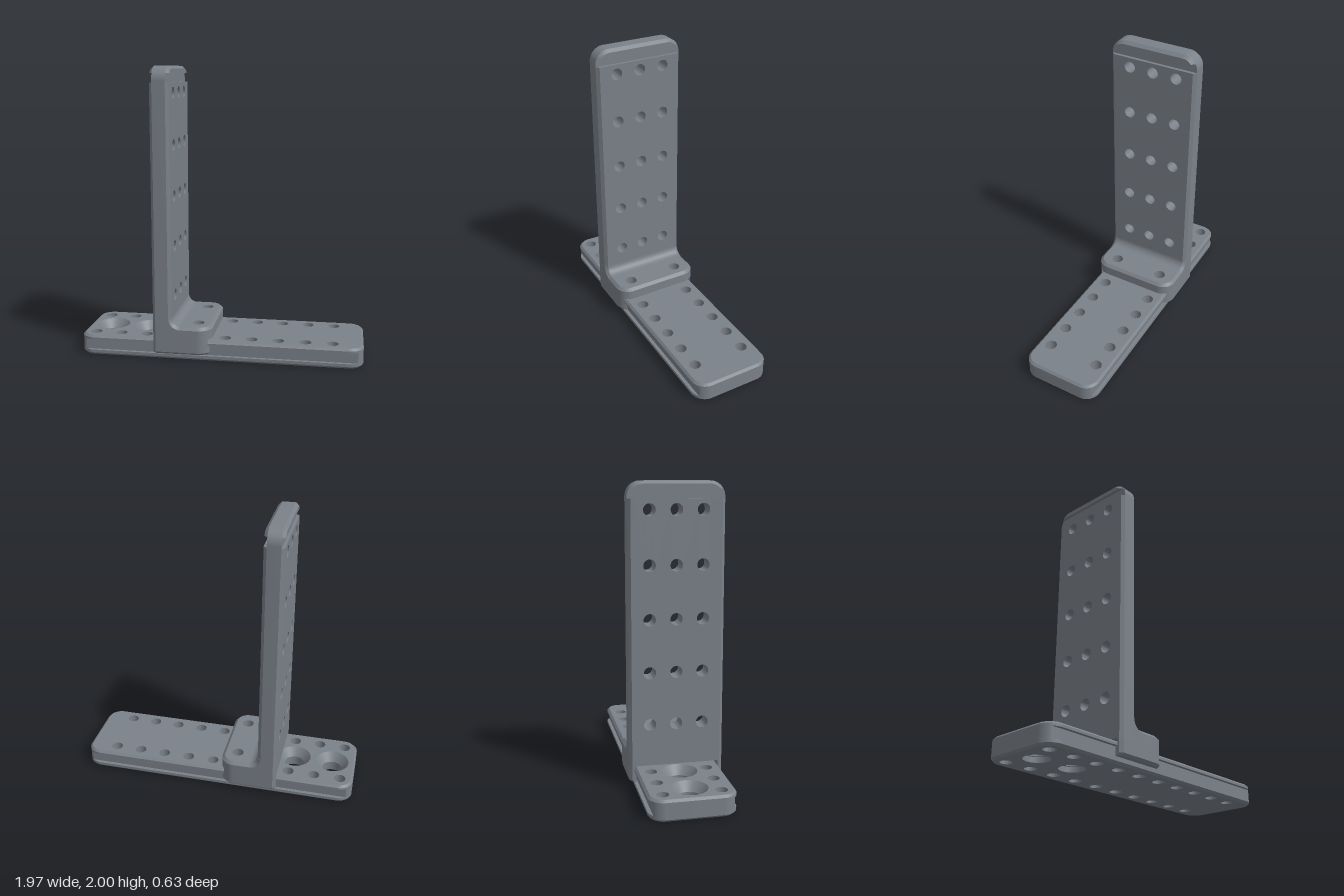
import * as THREE from 'three';
import { toCreasedNormals } from 'three/addons/utils/BufferGeometryUtils.js';

const material = new THREE.MeshStandardMaterial({ color: 0x7b8189 });
const ARC = 16;

// Points of an arc, angles in quarter turns
function arc(cx, cy, r, from, to) {
  return Array.from({ length: ARC + 1 }, (_, i) => {
    const a = (from + ((to - from) * i) / ARC) * Math.PI / 2;
    return [cx + r * Math.cos(a), cy + r * Math.sin(a)];
  });
}

// Strip outline with two rounded corners at the far end
function dome(halfWidth, base, end, r, inset = 0) {
  const c = halfWidth - r, rr = r - inset;
  const start = base > end - r ? Math.asin((base - (end - r)) / rr) / (Math.PI / 2) : 0;
  const pts = [...arc(c, end - r, rr, start, 1), ...arc(-c, end - r, rr, 1, 2 - start)];
  if (start === 0) pts.push([inset - halfWidth, base], [halfWidth - inset, base]);
  return pts;
}

function roundedRect(w, l, r, inset = 0) {
  const a = w - r, b = l - r, rr = r - inset;
  return [...arc(a, b, rr, 0, 1), ...arc(-a, b, rr, 1, 2),
    ...arc(-a, -b, rr, 2, 3), ...arc(a, -b, rr, 3, 4)];
}

const circle = ([cx, cy, r]) => Array.from({ length: 32 }, (_, i) => {
  const a = (i / 32) * Math.PI * 2;
  return [cx + r * Math.cos(a), cy + r * Math.sin(a)];
});

// Where a section point [p, q] at height w lies, by stacking axis
const place = {
  x: (p, q, w) => new THREE.Vector3(w, p, q),
  y: (p, q, w) => new THREE.Vector3(q, w, p),
  z: (p, q, w) => new THREE.Vector3(p, q, w),
};

// Solid made of outlines [height, points] stacked along an axis, with straight through holes
function slab(name, axis, levels, holes = []) {
  const at = place[axis], pos = [];
  const v2 = (pts) => pts.map(([p, q]) => new THREE.Vector2(p, q));
  const tri = (a, b, c) => {
    const n = b.clone().sub(a).cross(c.clone().sub(a));
    if (n.length() > 1e-9) pos.push(...a, ...b, ...c);
  };
  const wall = (lo, hi, w0, w1) => lo.forEach((p, i) => {
    const j = (i + 1) % lo.length;
    const a = at(...p, w0), b = at(...lo[j], w0), c = at(...hi[j], w1), d = at(...hi[i], w1);
    tri(a, b, c);
    tri(a, c, d);
  });
  if (THREE.ShapeUtils.isClockWise(v2(levels[0][1]))) {
    levels = levels.map(([w, pts]) => [w, [...pts].reverse()]);
  }
  const rings = holes.map((h) => circle(h).reverse());
  const first = levels[0], last = levels[levels.length - 1];
  for (let k = 1; k < levels.length; k++) {
    wall(levels[k - 1][1], levels[k][1], levels[k - 1][0], levels[k][0]);
  }
  rings.forEach((ring) => wall(ring, ring, first[0], last[0]));
  // End caps
  for (const [w, pts] of [first, last]) {
    const all = [pts, ...rings].flat().map((p) => at(...p, w));
    for (const [a, b, c] of THREE.ShapeUtils.triangulateShape(v2(pts), rings.map(v2))) {
      if (w === last[0]) tri(all[a], all[b], all[c]);
      else tri(all[a], all[c], all[b]);
    }
  }
  const geo = new THREE.BufferGeometry();
  geo.setAttribute('position', new THREE.Float32BufferAttribute(pos, 3));
  const mesh = new THREE.Mesh(toCreasedNormals(geo, 0.5), material);
  mesh.name = name;
  return mesh;
}

export function createModel() {
  const model = new THREE.Group();
  model.name = 'slidingBracket';

  // Base plate: chamfered, grooved along both long sides, two rows of holes
  const plate = (inset, maxZ = 1) => roundedRect(0.278, 0.984, 0.1, inset)
    .map(([z, x]) => [THREE.MathUtils.clamp(z, -maxZ, maxZ), x]);
  const sinkX = [-0.82, -0.543];
  const plateHoles = sinkX.map((x) => [0, x, 0.117]);
  for (let i = 0; i < 10; i++) {
    for (const z of [-0.185, 0.185]) plateHoles.push([z, -0.892 + i * 0.1853, 0.04]);
  }
  model.add(slab('basePlate', 'y', [
    [0, plate(0.015)], [0.015, plate(0)], [0.035, plate(0)], [0.035, plate(0, 0.254)],
    [0.11, plate(0, 0.254)], [0.11, plate(0)], [0.125, plate(0)], [0.14, plate(0.015)],
  ], plateHoles));

  // Seats of the two large holes: countersunk above, slightly widened below
  for (const x of sinkX) {
    const profile = [[0.117, 0], [0.083, 0], [0.083, 0.035], [0.07, 0.035], [0.07, 0.08], [0.117, 0.14]]
      .map(([r, y]) => new THREE.Vector2(r, y));
    const geo = toCreasedNormals(new THREE.LatheGeometry(profile, 32), 0.5);
    const seat = new THREE.Mesh(geo, material.clone());
    seat.material.side = THREE.DoubleSide;
    seat.position.x = x;
    seat.name = 'countersink';
    model.add(seat);
  }

  // Upright with a grid of holes, thinned to a neck below its head
  const upright = (base, inset, maxY = 3) => dome(0.315, base, 2, 0.1, inset)
    .map(([z, y]) => [Math.min(y, maxY), z]);
  const gridHoles = [];
  for (let i = 0; i < 5; i++) {
    for (const z of [-0.176, -0.002, 0.172]) gridHoles.push([0.434 + i * 0.347, z, 0.04]);
  }
  model.add(slab('upright', 'x', [
    [-0.45, upright(0.155, 0.02, 1.89)], [-0.43, upright(0.155, 0, 1.89)],
    [-0.43, upright(0.155, 0, 1.96)], [-0.34, upright(0.155, 0, 1.96)],
    [-0.34, upright(0.155, 0, 1.89)], [-0.318, upright(0.155, 0.02, 1.89)],
  ], gridHoles));
  model.add(slab('uprightHead', 'x', [
    [-0.45, upright(1.95, 0.02)], [-0.43, upright(1.95, 0)],
    [-0.34, upright(1.95, 0)], [-0.318, upright(1.95, 0.02)],
  ]));

  // Foot resting above the plate
  const foot = (inset) => dome(0.315, -0.4, -0.046, 0.1, inset);
  model.add(slab('foot', 'y', [[0.155, foot(0)], [0.222, foot(0)], [0.242, foot(0.02)]],
    [-0.185, 0.185].map((z) => [z, -0.152, 0.041])));

  // Fillet between upright and foot, following their chamfers
  const fillet = (inset) => [[-0.38, 0.302], ...arc(-0.258, 0.302, 0.06 + inset, 2, 3),
    [-0.258, 0.2], [-0.38, 0.2]];
  model.add(slab('fillet', 'z', [
    [-0.315, fillet(0.02)], [-0.295, fillet(0)], [0.295, fillet(0)], [0.315, fillet(0.02)],
  ]));

  // Side arms whose lips hook into the plate grooves
  for (const side of [1, -1]) {
    const arm = (inset, inner) => {
      const rr = 0.1 - inset, z0 = 0.215;
      const start = Math.asin((inner - z0) / rr) / (Math.PI / 2);
      return [...arc(-0.146, z0, rr, start, 1), [-0.43, 0.315 - inset],
        [-0.45, 0.295 - inset], [-0.45, inner]].map(([x, z]) => [z * side, x]);
    };
    model.add(slab(side > 0 ? 'frontArm' : 'backArm', 'y', [
      [0.047, arm(0.015, 0.267)], [0.062, arm(0, 0.267)], [0.11, arm(0, 0.267)],
      [0.11, arm(0, 0.283)], [0.155, arm(0, 0.283)],
    ]));
  }
  return model;
}
